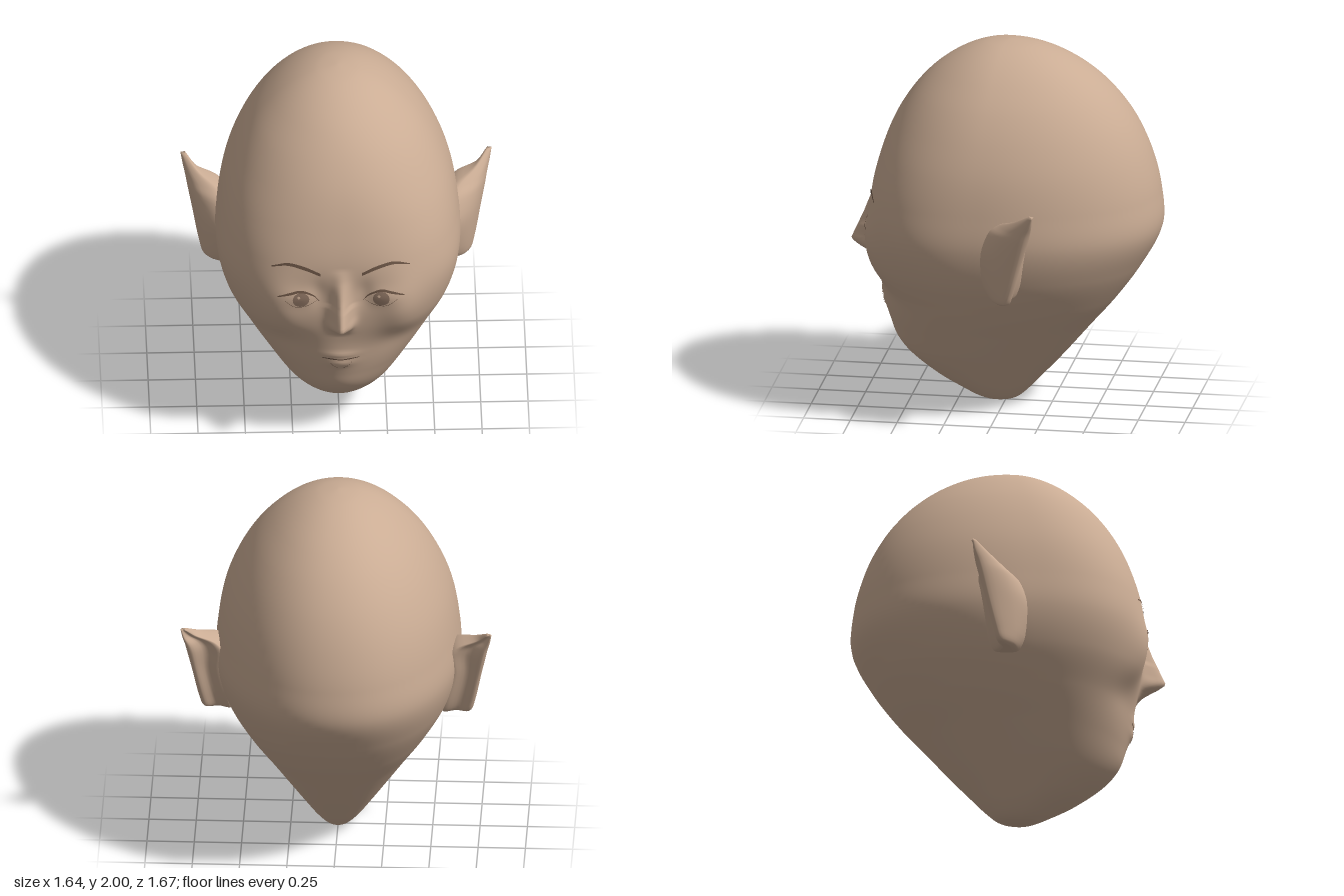
import * as THREE from 'three';

const { lerp, clamp } = THREE.MathUtils;

// Head profile, evenly spaced in angle from chin to crown: half width, front z, back z, squareness of the face
const PROFILE = [
  [0, .03, .03, 2], [.065, .13, -.06, 2], [.13, .24, -.13, 2], [.205, .39, -.217, 2],
  [.295, .53, -.33, 2], [.395, .6, -.458, 2.05], [.505, .64, -.605, 2.2], [.6, .685, -.738, 2.5],
  [.645, .7, -.835, 2.75], [.634, .695, -.828, 2.6], [.6, .652, -.783, 2.4], [.537, .587, -.708, 2.2],
  [.452, .495, -.603, 2.1], [.348, .384, -.473, 2], [.236, .255, -.325, 2], [.119, .12, -.172, 2], [0, -.02, -.02, 2],
];
// Height of the nose ridge above the face: y, depth
const NOSE = [[.74, 0], [.78, .035], [.82, .1], [.85, .137], [.92, .1], [1, .06], [1.1, .02], [1.17, 0]];

// Smoothly interpolated profile values at height y
function section(y) {
  const n = PROFILE.length - 1;
  const p = Math.acos(clamp(1 - y, -1, 1)) / Math.PI * n;
  const i = Math.min(Math.floor(p), n - 1), t = p - i;
  const at = (k) => PROFILE[clamp(k, 0, n)];
  const [w, f, b, nf] = [0, 1, 2, 3].map((c) => {
    const a = at(i - 1)[c], q = at(i)[c], r = at(i + 1)[c], d = at(i + 2)[c];
    return q + .5 * t * (r - a + t * (2 * a - 5 * q + 4 * r - d + t * (3 * (q - r) + d - a)));
  });
  return { w: Math.max(w, 1e-5), f, b, nf, c: f - .42 * (f - b) };
}

const bump = (x, y, cx, cy, rx, ry) => Math.exp(-(((x - cx) / rx) ** 2) - ((y - cy) / ry) ** 2);

// Forward relief of nose, lips, cheeks and eye sockets
function relief(x, y) {
  const ax = Math.abs(x);
  let d = 0;
  for (let i = 0; i < NOSE.length - 1; i++) {
    const [y0, d0] = NOSE[i], [y1, d1] = NOSE[i + 1];
    if (y >= y0 && y < y1) d = lerp(d0, d1, (y - y0) / (y1 - y0));
  }
  const width = y < .95 ? .05 : .042;
  d *= Math.exp(-((x / width) ** 2));
  d += .02 * bump(ax, y, .05, .825, .022, .03);
  d += .02 * bump(x, y, 0, .56, .13, .1);
  d += .01 * bump(x, y, 0, .535, .06, .025) + .008 * bump(x, y, 0, .595, .08, .018);
  d += .015 * bump(x, y, 0, .37, .13, .09);
  d += .04 * bump(ax, y, .33, .9, .12, .19);
  d -= .015 * bump(ax, y, .3, .66, .12, .09);
  d -= .015 * bump(ax, y, .12, 1.02, .05, .08);
  d += .01 * bump(ax, y, .215, 1, .09, .05);
  return d;
}

// Depth of the face surface at x, y
function faceZ(x, y) {
  const s = section(y);
  const k = Math.max(0, 1 - Math.abs(x / s.w) ** s.nf) ** (1 / s.nf);
  return s.c + (s.f - s.c) * k + relief(x, y);
}

// Closed rings of points joined into a surface
function loft(rings, flip = false) {
  const m = rings[0].length, pos = [], idx = [];
  rings.forEach((r) => r.forEach((p) => pos.push(p.x, p.y, p.z)));
  const tri = (a, b, c) => (flip ? idx.push(a, c, b) : idx.push(a, b, c));
  for (let i = 0; i < rings.length - 1; i++) {
    for (let j = 0; j < m; j++) {
      const a = i * m + j, b = i * m + (j + 1) % m;
      tri(a, b, b + m);
      tri(a, b + m, a + m);
    }
  }
  const last = (rings.length - 1) * m;
  for (let j = 1; j < m - 1; j++) {
    tri(0, j + 1, j);
    tri(last, last + j, last + j + 1);
  }
  const g = new THREE.BufferGeometry();
  g.setAttribute('position', new THREE.Float32BufferAttribute(pos, 3));
  g.setIndex(idx);
  g.computeVertexNormals();
  return g;
}

// Skull and face, with columns packed closer toward the front
function headGeometry(rows = 220, cols = 170) {
  const rings = [];
  for (let i = 0; i <= rows; i++) {
    const y = 1 - Math.cos(Math.PI * clamp(i / rows, .002, .998));
    const s = section(y), ring = [];
    for (let j = 0; j < cols; j++) {
      const u = (j / cols) * 2 - 1;
      const a = Math.PI * (.5 * u + .5 * u ** 3);
      const sx = Math.sin(a), cz = Math.cos(a), front = cz > 0;
      const n = front ? s.nf : 2.1;
      const depth = Math.max(front ? s.f - s.c : s.c - s.b, 1e-5);
      const r = (Math.abs(sx / s.w) ** n + Math.abs(cz / depth) ** n) ** (-1 / n);
      const x = r * sx;
      const z = s.c + r * cz + (front ? relief(x, y) * Math.min(1, cz * 3) : 0);
      ring.push(new THREE.Vector3(x, y, z));
    }
    rings.push(ring);
  }
  return loft(rings);
}

// Pointed ear sections: y, front root x z, outer edge x z, back root x z
const EAR = [
  [.735, .6, -.05, .68, -.1, .58, -.11], [.75, .56, -.01, .708, -.125, .56, -.14],
  [.82, .57, .03, .73, -.15, .57, -.17], [1, .61, .045, .765, -.2, .61, -.2],
  [1.12, .6, 0, .79, -.235, .6, -.22], [1.17, .63, -.07, .8, -.25, .64, -.22],
  [1.22, .73, -.165, .812, -.265, .745, -.235], [1.275, .795, -.255, .822, -.275, .8, -.28],
];
function earGeometry(side) {
  const m = 30, steps = 32;
  const raw = EAR.map(([y, fx, fz, ox, oz, bx, bz]) => {
    const k = (ox - fx) / .16;
    const pts = [[fx, fz], [(fx + ox) / 2 + .03 * k, (fz + oz) / 2 + .03 * k], [ox, oz + .015 * k],
      [ox - .018 * k, oz - .008 * k], [(bx + ox) / 2, (bz + oz) / 2 + .02 * k], [bx, bz]];
    return new THREE.CatmullRomCurve3(pts.map(([x, z]) => new THREE.Vector3(x * side, y, z)), true)
      .getPoints(m).slice(0, m);
  });
  const columns = raw[0].map((_, j) => new THREE.CatmullRomCurve3(raw.map((r) => r[j])).getPoints(steps));
  const rings = Array.from({ length: steps + 1 }, (_, i) => columns.map((c) => c[i]));
  return loft(rings, side < 0);
}

// Tapered thin stroke lying on the face: control points are x, y, half width
function strokeGeometry(points, side = 1, lift = .005) {
  const curve = new THREE.CatmullRomCurve3(points.map((p) => new THREE.Vector3(...p)));
  const pos = [], idx = [], n = 28;
  curve.getPoints(n).forEach((p, i) => {
    for (const e of [1, -1]) {
      const x = p.x * side, y = p.y + e * p.z;
      pos.push(x, y, faceZ(x, y) + lift);
    }
    const a = i * 2;
    if (i < n) side > 0 ? idx.push(a, a + 1, a + 3, a, a + 3, a + 2) : idx.push(a, a + 3, a + 1, a, a + 2, a + 3);
  });
  const g = new THREE.BufferGeometry();
  g.setAttribute('position', new THREE.Float32BufferAttribute(pos, 3));
  g.setIndex(idx);
  g.computeVertexNormals();
  return g;
}

// Round disc draped over the face
function discGeometry(cx, cy, r, lift) {
  const g = new THREE.RingGeometry(0, r, 28, 4).translate(cx, cy, 0);
  const p = g.attributes.position;
  for (let i = 0; i < p.count; i++) p.setZ(i, faceZ(p.getX(i), p.getY(i)) + lift);
  g.computeVertexNormals();
  return g;
}

export function createModel() {
  const material = (name, color) => Object.assign(new THREE.MeshStandardMaterial({ color }), { name });
  const skin = material('skin', 0xcaac94);
  const iris = material('iris brown', 0x8a7160);
  const hair = material('brow brown', 0x6e5747);
  hair.side = THREE.DoubleSide;

  const model = new THREE.Group();
  model.name = 'head';
  const add = (name, geometry, mat) => {
    const mesh = new THREE.Mesh(geometry, mat);
    mesh.name = name;
    model.add(mesh);
  };

  add('skull', headGeometry(), skin);
  for (const side of [1, -1]) {
    const label = side > 0 ? 'left' : 'right';
    add(label + 'Ear', earGeometry(side), skin);
    add(label + 'Iris', discGeometry(.212 * side, .992, .044, .004), iris);
    add(label + 'EyeGlint', discGeometry(.212 * side - .012, 1.01, .008, .006), skin);
    add(label + 'Brow', strokeGeometry([[.11, 1.145, .009], [.19, 1.18, .01], [.28, 1.197, .008], [.365, 1.172, .003]], side), hair);
    add(label + 'Lashes', strokeGeometry([[.115, .975, .002], [.15, 1.015, .005], [.21, 1.043, .007], [.27, 1.03, .007], [.335, 1.008, .003]], side), hair);
    add(label + 'LowerLid', strokeGeometry([[.13, .978, .001], [.18, .952, .0015], [.24, .948, .0015], [.3, .99, .001]], side), hair);
  }

  // Mouth
  add('mouthLine', strokeGeometry([[-.098, .574, .002], [-.04, .57, .004], [0, .567, .003], [.04, .57, .004], [.098, .574, .002]]), hair);
  add('lowerLipEdge', strokeGeometry([[-.06, .55, .001], [-.03, .514, .0015], [0, .507, .0015], [.03, .514, .0015], [.06, .55, .001]]), hair);
  return model;
}
